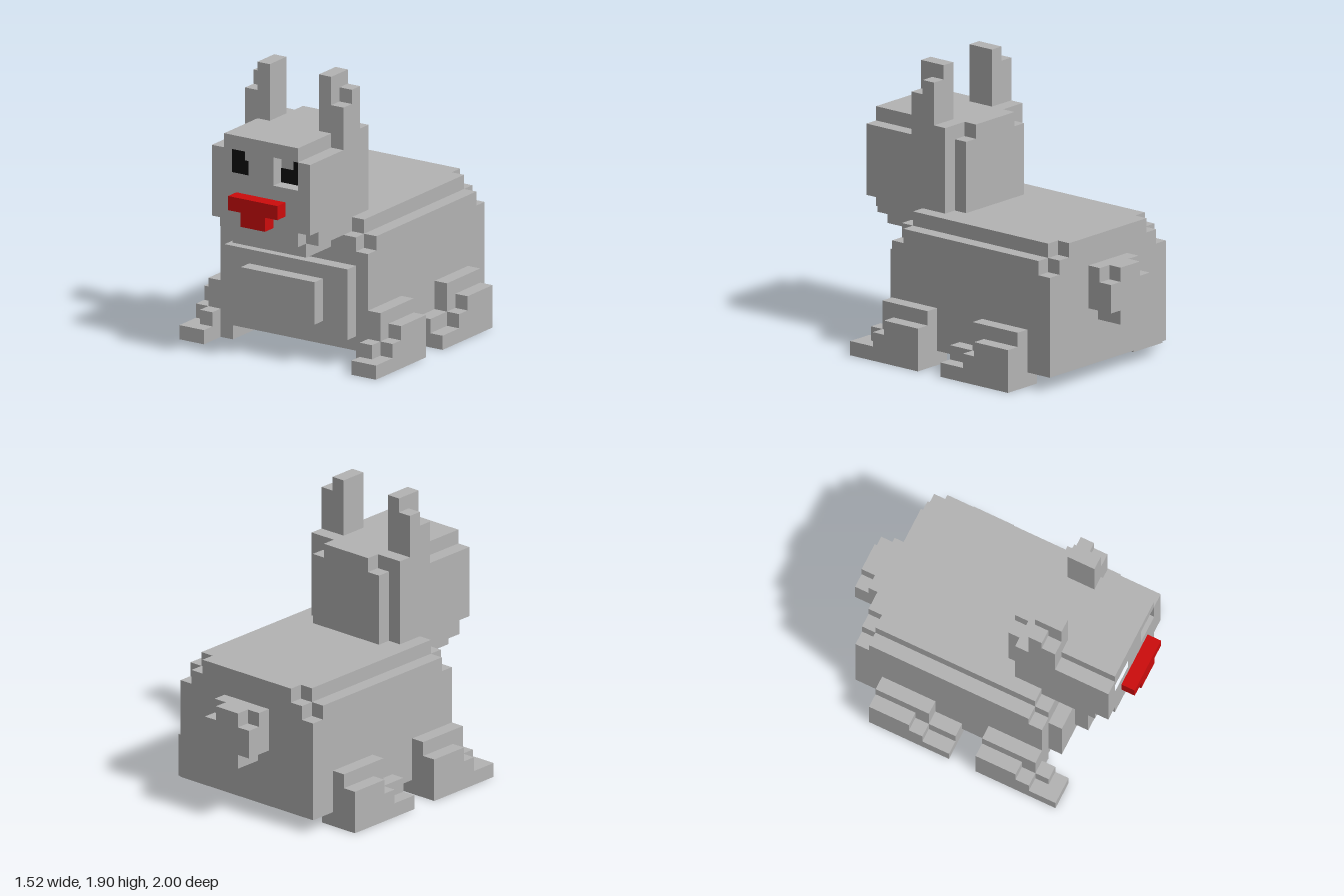
import * as THREE from 'three';

const U = 2 / 21; // one block
const Z0 = 10.5;  // blocks from the tail tip to the centre

export function createModel() {
  const fur = new THREE.MeshStandardMaterial({ color: 0xb3b3b3 });
  fur.name = 'greyFur';
  const red = new THREE.MeshStandardMaterial({ color: 0xcc0c0c });
  red.name = 'redNose';
  const black = new THREE.MeshStandardMaterial({ color: 0x0d0d0d });
  black.name = 'blackEye';

  const model = new THREE.Group();
  model.name = 'blockRabbit';

  const group = (name) => {
    const g = new THREE.Group();
    g.name = name;
    model.add(g);
    return g;
  };

  // Slice between two z values; the outline's +x half runs top to bottom and is mirrored
  function slice(parent, name, half, z0, z1, material = fur, holes = []) {
    const mirrored = half.map(([x, y]) => [-x, y]).reverse();
    const toPoints = (list) => list.map(([x, y]) => new THREE.Vector2(x * U, y * U));
    const shape = new THREE.Shape(toPoints([...half, ...mirrored]));
    for (const h of holes) shape.holes.push(new THREE.Path(toPoints(h)));
    const geo = new THREE.ExtrudeGeometry(shape, { depth: (z1 - z0) * U, bevelEnabled: false });
    const mesh = new THREE.Mesh(geo, material);
    mesh.position.z = (z0 - Z0) * U;
    mesh.name = name;
    parent.add(mesh);
  }

  // Box given by its block limits
  function box(parent, name, [x0, x1], [y0, y1], [z0, z1], material = fur) {
    const geo = new THREE.BoxGeometry(Math.abs(x1 - x0) * U, (y1 - y0) * U, (z1 - z0) * U);
    const mesh = new THREE.Mesh(geo, material);
    mesh.position.set((x0 + x1) / 2 * U, (y0 + y1) / 2 * U, ((z0 + z1) / 2 - Z0) * U);
    mesh.name = name;
    parent.add(mesh);
  }

  // Body with stepped top edges and corners
  const body = group('body');
  const bodyEnd = [[4, 10], [4, 9], [5, 9], [5, 8], [6, 8], [6, 1]];
  slice(body, 'bodyBack', bodyEnd, 2, 3);
  slice(body, 'bodyMiddle', [[5, 10], [5, 9], [6, 9], [6, 1]], 3, 15);
  slice(body, 'bodyFront', bodyEnd, 15, 16);
  slice(body, 'chest', [[5, 7], [5, 2]], 16, 17);
  slice(body, 'chestPatch', [[3, 6], [3, 3]], 17, 18);

  // Tail
  const tail = group('tail');
  slice(tail, 'tailBase', [[2, 8], [2, 5], [1, 5], [1, 4]], 1, 2);
  slice(tail, 'tailTip', [[1, 8], [1, 7], [2, 7], [2, 5], [1, 5], [1, 4]], 0, 1);

  // Head, with eye sockets cut through the face slice
  const head = group('head');
  const socket = (s) => [[s, 13], [3 * s, 13], [3 * s, 15], [s, 15]];
  slice(head, 'headBack', [[2, 16], [2, 15], [3, 15], [3, 8]], 12, 13);
  slice(head, 'headMiddle', [[4, 16], [4, 9], [3, 9], [3, 8]], 13, 16);
  slice(head, 'headFront', [[3, 16], [3, 15], [4, 15], [4, 9], [3, 9], [3, 8]], 16, 19);
  slice(head, 'face', [[3, 16], [3, 15], [4, 15], [4, 10], [3, 10], [3, 9]], 19, 20, fur,
    [socket(1), socket(-1)]);
  slice(head, 'nose', [[2, 12], [2, 11], [1, 11], [1, 10]], 20, 21, red);

  for (const s of [1, -1]) {
    const side = s > 0 ? 'left' : 'right';
    const span = (a, b) => [a * s, b * s];

    // Eye plates at the back of the socket
    box(head, side + 'EyeOuter', span(2, 3), [13, 15], [19, 19.05], black);
    box(head, side + 'EyeInner', span(1, 2), [13, 14], [19, 19.05], black);

    // Ear
    const ear = group(side + 'Ear');
    box(ear, 'earInner', span(2, 3), [16, 20], [14, 16]);
    box(ear, 'earOuter', span(3, 4), [16, 18], [14, 16]);
    box(ear, 'earOuterTip', span(3, 4), [18, 19], [14, 15]);

    // Legs: z0 heel, z1 front of the thigh, paw ending two blocks ahead
    for (const [name, z0, z1, instep] of [['FrontLeg', 12, 16, 1], ['BackLeg', 4, 8, 2]]) {
      const leg = group(side + name);
      const soleFront = name === 'BackLeg' ? z1 + 2 : z1;
      box(leg, 'paw', span(6, 8), [0, 1], [z0, z1 + 2]);
      box(leg, 'sole', span(5, 6), [0, 1], [z0, soleFront]);
      box(leg, 'thighInner', span(6, 7), [1, 4], [z0, z1]);
      box(leg, 'instep', span(6, 7), [1, 2], [z1, z1 + instep]);
      box(leg, 'thighOuter', span(7, 8), [1, 3], [z0, z1 - 1]);
      box(leg, 'thighStep', span(7, 8), [1, 2], [z1 - 1, z1]);
    }
  }
  return model;
}
